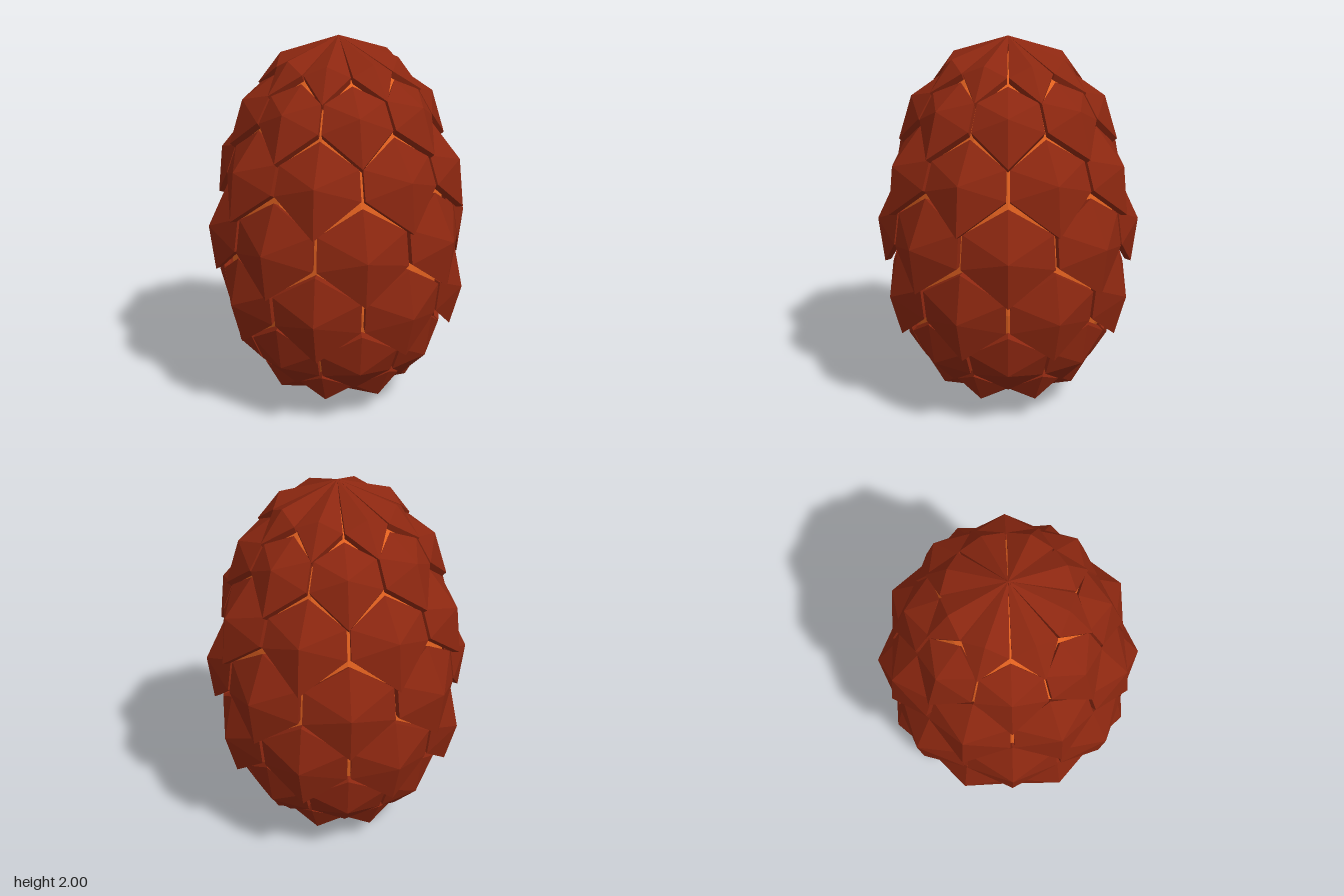
import * as THREE from 'three';

const COUNT = 8;             // scales per ring
const HALF = 0.376;          // half angular width of a scale, leaving a narrow gap
const THICK = 0.035;
const CENTRE = new THREE.Vector3(0, 1, 0);

// Each ring lists [radius, height] for the scale's corners and raised middle.
const RINGS = [
  { top: [0, 2], low: [0.32, 1.85], mid: [0.305, 1.9], tip: [0.425, 1.74] },
  { top: [0.33, 1.81], up: [0.41, 1.74], low: [0.485, 1.61], mid: [0.5, 1.69], tip: [0.57, 1.46] },
  { top: [0.48, 1.575], up: [0.54, 1.45], low: [0.59, 1.305], mid: [0.635, 1.38], tip: [0.66, 1.125] },
  { top: [0.58, 1.265], up: [0.61, 1.13], low: [0.635, 0.955], mid: [0.695, 1.02], tip: [0.665, 0.775] },
  { top: [0.62, 0.92], up: [0.62, 0.78], low: [0.6, 0.615], mid: [0.67, 0.67], tip: [0.61, 0.45] },
  { top: [0.58, 0.58], up: [0.55, 0.46], low: [0.49, 0.32], mid: [0.545, 0.35], tip: [0.405, 0.205] },
  { top: [0.47, 0.295], up: [0.385, 0.205], mid: [0.375, 0.12], tip: [0, 0] },
];

const point = ([r, y], a = 0) => new THREE.Vector3(r * Math.sin(a), y, r * Math.cos(a));

// A faceted shield: outer fan, inner fan and a rim joining them
function scaleGeometry({ top, up, low, mid, tip }) {
  const side = [up, low].filter(Boolean);
  const loop = [
    point(top),
    ...side.map((p) => point(p, -HALF)),
    point(tip),
    ...side.slice().reverse().map((p) => point(p, HALF)),
  ];
  const inward = (p) => p.clone().add(CENTRE.clone().sub(p).setLength(THICK));
  const outerMid = point(mid);
  const innerMid = inward(outerMid);
  const tris = [];
  loop.forEach((a, i) => {
    const b = loop[(i + 1) % loop.length];
    const ai = inward(a), bi = inward(b);
    tris.push(outerMid, a, b, innerMid, bi, ai, a, ai, bi, a, bi, b);
  });
  const geometry = new THREE.BufferGeometry().setFromPoints(tris);
  geometry.computeVertexNormals();
  return geometry;
}

export function createModel() {
  const model = new THREE.Group();
  model.name = 'scaledEgg';
  const scaleRed = new THREE.MeshStandardMaterial({ color: 0x8c2710 });
  scaleRed.name = 'scale red';
  const coreOrange = new THREE.MeshStandardMaterial({ color: 0xe0601f });
  coreOrange.name = 'core orange';

  // Inner shell that shows through the gaps
  const profile = [
    [0, 0.13], [0.2, 0.15], [0.33, 0.23], [0.44, 0.35], [0.53, 0.52], [0.57, 0.7], [0.575, 0.88],
    [0.565, 1.05], [0.54, 1.22], [0.49, 1.42], [0.42, 1.6], [0.33, 1.75], [0.2, 1.87], [0, 1.95],
  ].map(([r, y]) => new THREE.Vector2(r, y));
  const coreGeometry = new THREE.LatheGeometry(profile, 16).toNonIndexed();
  coreGeometry.computeVertexNormals();
  const core = new THREE.Mesh(coreGeometry, coreOrange);
  core.name = 'core';
  model.add(core);

  // Rings of scales, every other ring turned by half a step
  RINGS.forEach((ring, row) => {
    const group = new THREE.Group();
    group.name = `scaleRing${row + 1}`;
    const geometry = scaleGeometry(ring);
    for (let i = 0; i < COUNT; i++) {
      const scale = new THREE.Mesh(geometry, scaleRed);
      scale.name = 'scale';
      scale.rotation.y = ((i + (row % 2) / 2) / COUNT) * Math.PI * 2;
      group.add(scale);
    }
    model.add(group);
  });
  return model;
}
